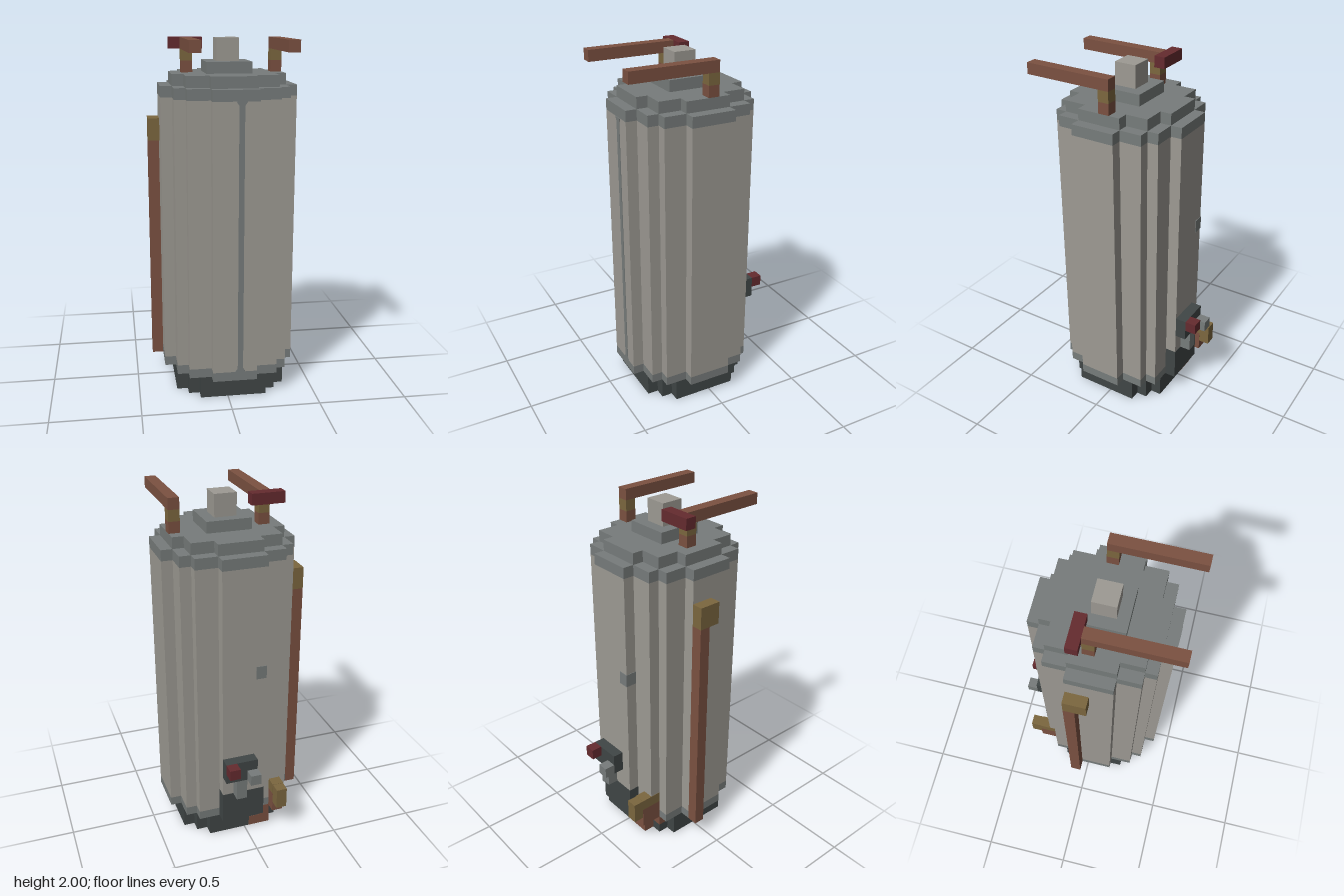
import * as THREE from 'three';

const U = 1 / 16;                 // size of one block
const X0 = -6.5 * U, Z0 = -7.5 * U; // corner of the block grid
const C = U / 2;                  // the tank axis sits half a block off centre

function material(name, color) {
  const m = new THREE.MeshStandardMaterial({ color });
  m.name = name;
  return m;
}

export function createModel() {
  const model = new THREE.Group();
  model.name = 'tank';
  const pale = material('paleMetal', 0x9d9a93);
  const grey = material('greyMetal', 0x777c7b);
  const dark = material('darkMetal', 0x404646);
  const copper = material('copper', 0x7b5141);
  const brass = material('brass', 0x7c673f);
  const red = material('redPaint', 0x652b2f);

  // Box from block-grid corners; grow lifts it slightly off flush faces
  function block(name, mat, [x1, y1, z1], [x2, y2, z2], grow = 0) {
    const g = new THREE.BoxGeometry(
      (x2 - x1) * U + 2 * grow, (y2 - y1) * U + 2 * grow, (z2 - z1) * U + 2 * grow);
    const mesh = new THREE.Mesh(g, mat);
    mesh.name = name;
    mesh.position.set(X0 + (x1 + x2) / 2 * U, (y1 + y2) / 2 * U, Z0 + (z1 + z2) / 2 * U);
    model.add(mesh);
    return mesh;
  }

  // Stepped round slab: steps lists the outer corners [x, z] of one quadrant
  function slab(name, mat, steps, y1, y2) {
    const quarter = [];
    steps.forEach(([x, z], i) => {
      quarter.push([x, z]);
      if (i < steps.length - 1) quarter.push([steps[i + 1][0], z]);
    });
    const points = [];
    for (let q = 0; q < 4; q++) {
      for (const [x, z] of quarter) {
        const [a, b] = [[x, z], [-z, x], [-x, -z], [z, -x]][q];
        points.push(new THREE.Vector2(a * U, b * U));
      }
    }
    const g = new THREE.ExtrudeGeometry(new THREE.Shape(points), { depth: y2 - y1, bevelEnabled: false });
    g.rotateX(-Math.PI / 2);
    const mesh = new THREE.Mesh(g, mat);
    mesh.name = name;
    mesh.position.set(C, y1, C);
    model.add(mesh);
  }

  // Tank
  const wide = [[6, 2], [5, 4], [4, 5], [2, 6]];
  slab('base', dark, [[5, 3], [4, 4], [3, 5]], 0, 2 * U);
  slab('lowerBand', grey, wide, 2 * U, 0.178);
  slab('body', pale, wide, 0.178, 1.69);
  slab('upperBand', grey, wide, 1.69, 28 * U);
  slab('lid', grey, [[5, 2], [4, 4], [2, 5]], 28 * U, 29 * U);
  slab('neck', grey, [[2, 2]], 29 * U, 30 * U);
  slab('knob', pale, [[1, 1]], 30 * U, 32 * U);

  // Front seam, flared at both ends
  const half = [[0.03, 0.178], [0.015, 0.2], [0.015, 1.668], [0.03, 1.69]];
  const outline = [...half, ...half.map(([x, y]) => [-x, y]).reverse()];
  const seam = new THREE.Mesh(new THREE.ExtrudeGeometry(
    new THREE.Shape(outline.map(([x, y]) => new THREE.Vector2(x, y))),
    { depth: 0.003, bevelEnabled: false }), grey);
  seam.name = 'frontSeam';
  seam.position.set(0.06, 0, 6.5 * U);
  model.add(seam);

  // Worn patch on a back corner
  block('wornPatch', grey, [5, 16.8, 2], [5.85, 17.9, 3], 0.003);

  // Side pipe with a brass cap
  block('sidePipe', copper, [0, 2, 6], [1, 23, 7]);
  block('sidePipeCap', brass, [0, 23, 6], [1, 25, 8]);

  // Two posts carrying forward arms, and a red handle
  for (const x of [3, 11]) {
    block('postFoot', copper, [x, 29, 7], [x + 1, 30, 8]);
    block('postCollar', brass, [x, 30, 7], [x + 1, 31, 8]);
    block('arm', copper, [x, 31, 7], [x + 1, 32, 15]);
  }
  block('topHandle', red, [2, 31, 6], [5, 32, 7]);

  // Valve on the back
  block('valveHousing', dark, [5, 2, 2], [9, 5, 3], 0.002);
  block('valveStem', grey, [7, 5, 1], [8, 7, 2]);
  block('valveBar', dark, [6, 7, 1], [9, 9, 2]);
  block('valveNozzle', grey, [6, 7, 0], [7, 8, 1]);
  block('valveButton', red, [8, 8, 0], [9, 9, 1]);

  // Brass tap and the copper feed winding into the base
  block('tapArm', brass, [3, 4, 2], [4, 5, 4], 0.002);
  block('tapSpout', brass, [3, 3, 1], [4, 5, 2]);
  block('tapFeed', copper, [3, 2, 2], [4, 4, 4], 0.001);
  block('baseFeedLow', copper, [4, 0.05, 3], [6, 1, 4], 0.002);
  block('baseFeedMiddle', copper, [4, 1, 3], [5, 2, 4], 0.002);
  block('baseFeedSide', copper, [3, 1, 4], [4, 2, 5], 0.002);

  return model;
}
